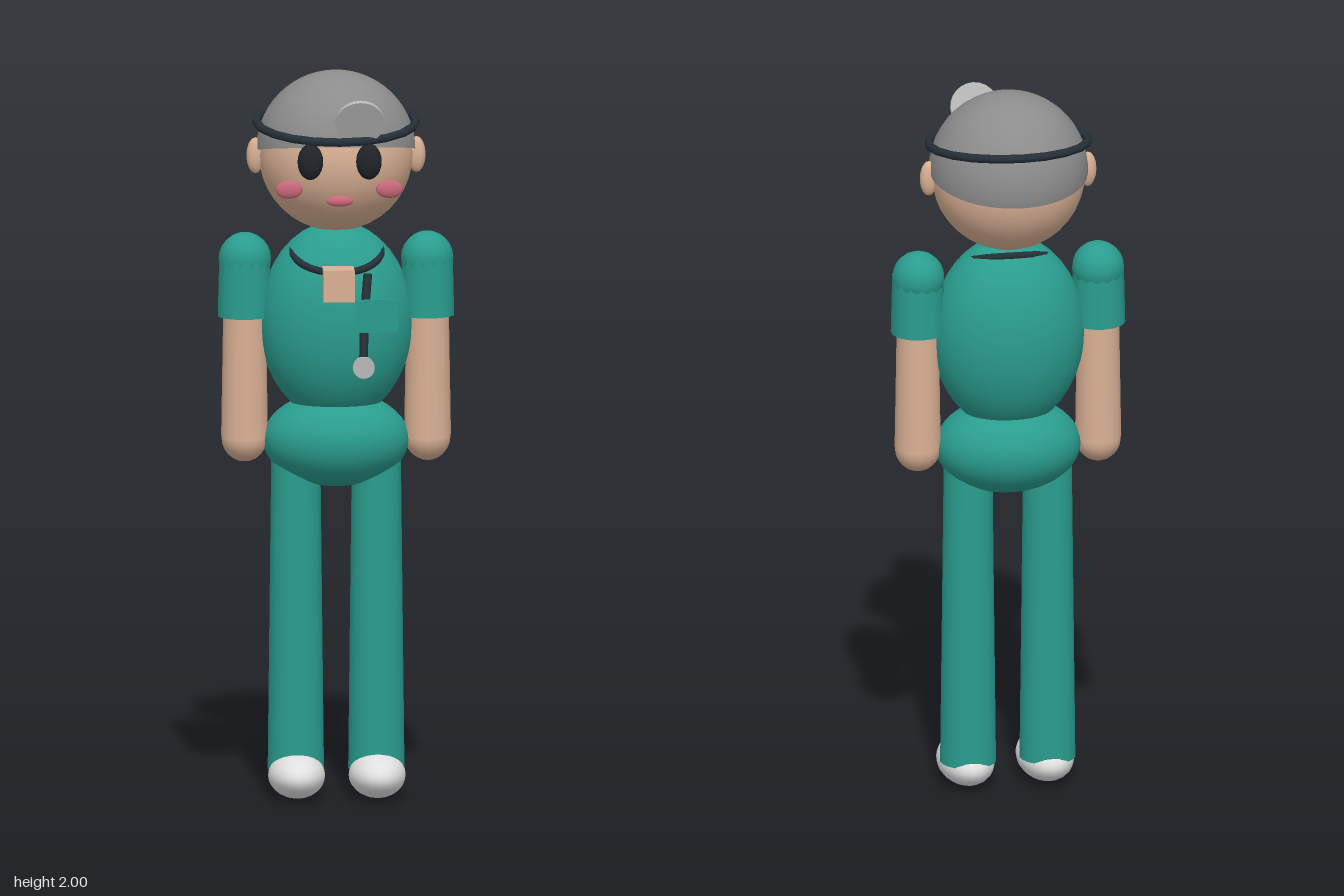
import * as THREE from 'three';

const mat = (name, color, side = THREE.FrontSide) => {
  const m = new THREE.MeshStandardMaterial({ color, side });
  m.name = name;
  return m;
};

export function createModel() {
  const scrubs = mat('teal scrubs', 0x2a9d8f);
  const skin = mat('skin', 0xd9b094);
  const hairGrey = mat('grey hair', 0x8c8c8c, THREE.DoubleSide);
  const rubber = mat('dark rubber', 0x263038);
  const eyeBlack = mat('eye black', 0x202429);
  const pink = mat('pink', 0xcb687b);
  const metal = mat('light metal', 0xb8b8b8);
  const shoe = mat('white shoe', 0xe0e0e0);

  const model = new THREE.Group();
  model.name = 'surgeon';

  const add = (name, geometry, material, x, y, z, rx = 0) => {
    const mesh = new THREE.Mesh(geometry, material);
    mesh.name = name;
    mesh.position.set(x, y, z);
    mesh.rotation.x = rx;
    model.add(mesh);
    return mesh;
  };
  const ellipsoid = (name, material, pos, radii, w = 32, h = 20) => {
    const mesh = add(name, new THREE.SphereGeometry(1, w, h), material, ...pos);
    mesh.scale.set(...radii);
    return mesh;
  };
  // Tapered limb between two heights
  const limb = (name, material, x, z, yTop, yBottom, rTop, rBottom, sides) =>
    add(name, new THREE.CylinderGeometry(rTop, rBottom, yTop - yBottom, sides),
      material, x, (yTop + yBottom) / 2, z);

  // Torso and hips
  ellipsoid('torso', scrubs, [0, 1.31, -0.002], [0.21, 0.275, 0.167]);
  ellipsoid('hips', scrubs, [0, 0.985, -0.002], [0.2, 0.13, 0.157]);

  // Head with a tilted cap of hair
  ellipsoid('head', skin, [0, 1.77, -0.008], [0.21, 0.21, 0.206]);
  add('hair', new THREE.SphereGeometry(0.218, 32, 14, 0, Math.PI * 2, 0, Math.PI / 2),
    hairGrey, 0, 1.782, -0.01, -0.18);
  ellipsoid('mouth', pink, [0, 1.672, 0.203], [0.037, 0.015, 0.01], 16, 10);

  // Head mirror on its band
  add('headband', new THREE.TorusGeometry(0.218, 0.012, 8, 20), rubber,
    0, 1.861, -0.008, Math.PI / 2 + 0.12);
  add('headMirror', new THREE.CylinderGeometry(0.067, 0.067, 0.012, 24), metal,
    0.055, 1.89, 0.208, Math.PI / 2 + 0.42);

  // Paired parts
  for (const [side, s] of [['left', 1], ['right', -1]]) {
    ellipsoid(side + 'Eye', eyeBlack, [s * 0.08, 1.78, 0.195], [0.035, 0.05, 0.022], 16, 12);
    ellipsoid(side + 'Cheek', pink, [s * 0.137, 1.7, 0.172], [0.037, 0.025, 0.012], 16, 10);
    ellipsoid(side + 'Ear', skin, [s * 0.22, 1.768, -0.006], [0.025, 0.05, 0.02], 12, 8);

    ellipsoid(side + 'Shoulder', scrubs, [s * 0.249, 1.483, -0.006], [0.072, 0.073, 0.073], 14, 12);
    limb(side + 'Sleeve', scrubs, s * 0.25, -0.004, 1.49, 1.325, 0.07, 0.074, 14);
    limb(side + 'Forearm', skin, s * 0.25, -0.002, 1.36, 0.995, 0.058, 0.064, 16);
    ellipsoid(side + 'Hand', skin, [s * 0.25, 0.99, -0.002], [0.063, 0.066, 0.063], 16, 12);

    limb(side + 'Leg', scrubs, s * 0.11, 0, 0.95, 0.075, 0.067, 0.077, 20);
    ellipsoid(side + 'Shoe', shoe, [s * 0.11, 0.063, 0.042], [0.078, 0.062, 0.133], 20, 14);
  }

  // Skin showing at the neckline, and the chest pocket
  add('neckline', new THREE.BoxGeometry(0.085, 0.088, 0.085), skin, -0.002, 1.438, 0.172);
  add('pocket', new THREE.BoxGeometry(0.115, 0.09, 0.009), scrubs, 0.102, 1.35, 0.179);

  // Stethoscope: ring round the neck, hanging hose and chest piece
  add('stethoscopeRing', new THREE.TorusGeometry(0.122, 0.01, 8, 28), rubber,
    0, 1.51, 0.037, Math.PI / 2 + 0.37);
  const hosePath = new THREE.CatmullRomCurve3([
    new THREE.Vector3(0.08, 1.46, 0.132),
    new THREE.Vector3(0.07, 1.35, 0.16),
    new THREE.Vector3(0.066, 1.23, 0.18),
  ]);
  add('stethoscopeHose', new THREE.TubeGeometry(hosePath, 10, 0.012, 8), rubber, 0, 0, 0);
  add('chestPiece', new THREE.CylinderGeometry(0.03, 0.03, 0.014, 20), metal,
    0.066, 1.21, 0.19, Math.PI / 2);

  return model;
}
